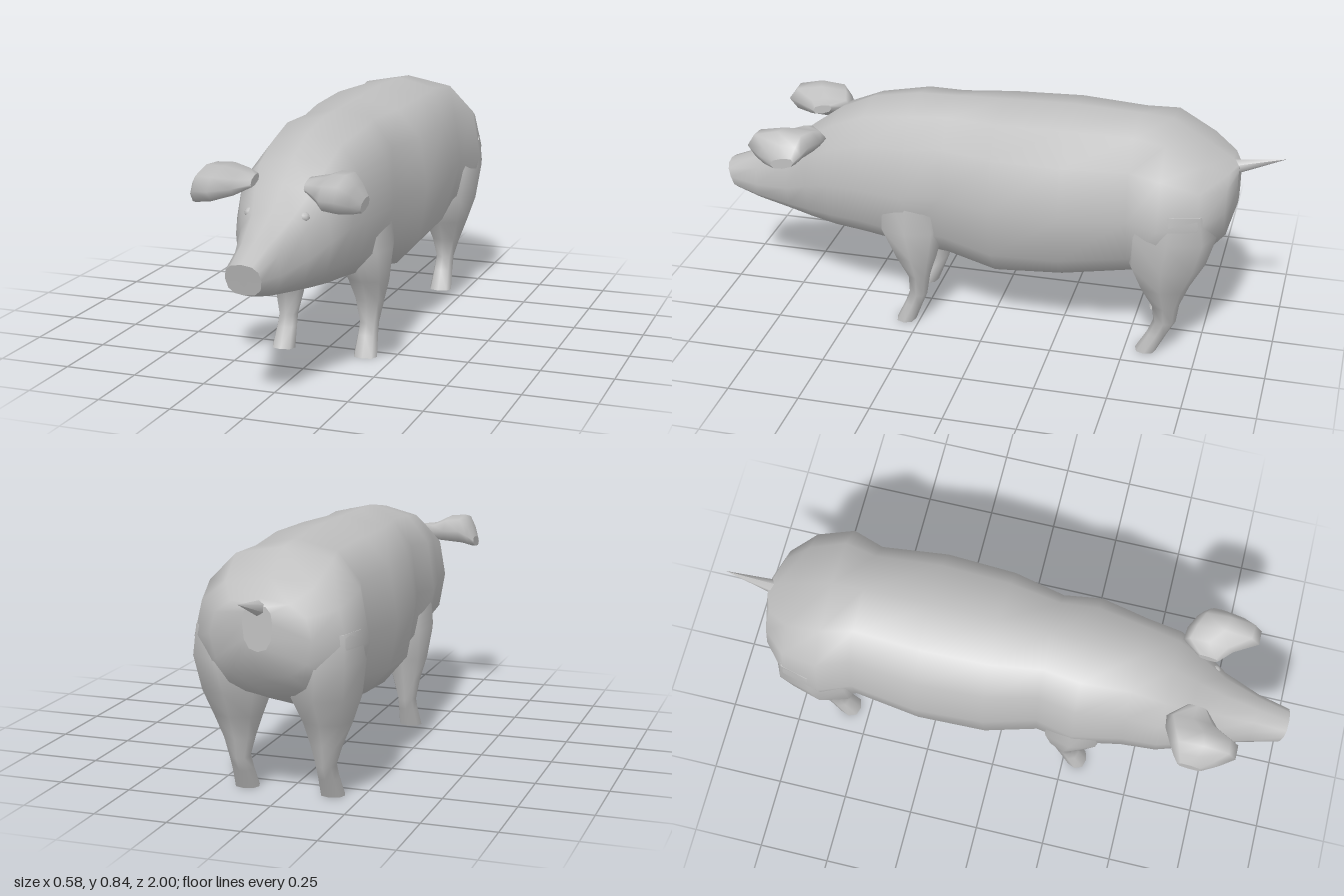
import * as THREE from 'three';

const hide = new THREE.MeshStandardMaterial({ color: 0xc0c0c0 });
hide.name = 'grey hide';

// Skin a row of equal-sized rings into a smooth closed solid with crisp end caps
function loft(rings) {
  const n = rings[0].length, pos = [], idx = [];
  rings.forEach(r => r.forEach(p => pos.push(...p)));
  for (let i = 0; i < rings.length - 1; i++) {
    for (let k = 0; k < n; k++) {
      const a = i * n + k, b = i * n + (k + 1) % n;
      idx.push(a, b, a + n, b, b + n, a + n);
    }
  }
  [rings[0], rings[rings.length - 1]].forEach((ring, end) => {
    const base = pos.length / 3;
    ring.forEach(p => pos.push(...p));
    pos.push(...[0, 1, 2].map(j => ring.reduce((s, p) => s + p[j], 0) / n));
    for (let k = 0; k < n; k++) {
      const a = base + k, b = base + (k + 1) % n;
      idx.push(base + n, end ? a : b, end ? b : a);
    }
  });
  const g = new THREE.BufferGeometry();
  g.setAttribute('position', new THREE.Float32BufferAttribute(pos, 3));
  g.setIndex(idx);
  g.computeVertexNormals();
  return g;
}

// Rounded ring: calls place(u, v) with u, v in -1..1, starting at v = 1
function ring(n, power, place) {
  const soft = t => Math.sign(t) * Math.pow(Math.abs(t), power);
  return Array.from({ length: n }, (_, k) => {
    const a = k / n * Math.PI * 2;
    return place(soft(Math.sin(a)), soft(Math.cos(a)));
  });
}

// Mirror across x = 0 and turn the faces outward again
function mirrored(geometry) {
  const g = geometry.clone().scale(-1, 1, 1);
  const ix = g.index.array;
  for (let i = 0; i < ix.length; i += 3) [ix[i], ix[i + 1]] = [ix[i + 1], ix[i]];
  g.computeVertexNormals();
  return g;
}

export function createModel() {
  const model = new THREE.Group();
  model.name = 'pig';
  const add = (name, geometry) => {
    const mesh = new THREE.Mesh(geometry, hide);
    mesh.name = name;
    model.add(mesh);
    return mesh;
  };
  const addPair = (name, geometry) => {
    add(name + 'Left', geometry);
    add(name + 'Right', mirrored(geometry));
  };

  // Body from snout to rump: z, top, bottom, half width, height of widest point
  const body = [
    [0.985, 0.49, 0.385, 0.06, 0.44],
    [0.88, 0.54, 0.357, 0.08, 0.43],
    [0.75, 0.60, 0.333, 0.12, 0.45],
    [0.66, 0.67, 0.318, 0.165, 0.49],
    [0.57, 0.735, 0.305, 0.20, 0.52],
    [0.45, 0.79, 0.29, 0.207, 0.52],
    [0.28, 0.82, 0.27, 0.24, 0.52],
    [0.15, 0.824, 0.245, 0.215, 0.53],
    [-0.03, 0.83, 0.208, 0.262, 0.52],
    [-0.27, 0.837, 0.232, 0.274, 0.52],
    [-0.5, 0.828, 0.27, 0.245, 0.53],
    [-0.61, 0.82, 0.31, 0.288, 0.53],
    [-0.74, 0.745, 0.36, 0.257, 0.54],
    [-0.82, 0.695, 0.44, 0.17, 0.57],
    [-0.845, 0.68, 0.53, 0.05, 0.62],
  ];
  add('body', loft(body.map(([z, top, bottom, w, mid], i) =>
    ring(12, 0.8, (u, v) => [
      u * w,
      mid + v * (v > 0 ? top - mid : mid - bottom),
      z + (i === 0 ? v * 0.015 : 0), // the snout disc leans back at the chin
    ]))));

  // Legs from the body down: y, inner x, outer x, back z, front z
  const leg = rows => loft(rows.map(([y, x0, x1, z0, z1]) =>
    ring(8, 0.85, (u, v) => [
      (x0 + x1) / 2 + u * (x1 - x0) / 2, y, (z0 + z1) / 2 - v * (z1 - z0) / 2,
    ])));
  addPair('frontLeg', leg([
    [0.55, 0.06, 0.225, 0.16, 0.39],
    [0.38, 0.04, 0.238, 0.155, 0.395],
    [0.27, 0.075, 0.222, 0.185, 0.335],
    [0.19, 0.095, 0.20, 0.21, 0.288],
    [0.11, 0.115, 0.183, 0.222, 0.287],
    [0.07, 0.113, 0.185, 0.238, 0.302],
    [0, 0.108, 0.192, 0.265, 0.335],
  ]));
  addPair('hindLeg', leg([
    [0.58, 0.08, 0.272, -0.78, -0.52],
    [0.48, 0.05, 0.284, -0.80, -0.49],
    [0.36, 0.035, 0.268, -0.765, -0.49],
    [0.27, 0.07, 0.237, -0.715, -0.535],
    [0.19, 0.095, 0.205, -0.683, -0.585],
    [0.12, 0.115, 0.183, -0.673, -0.595],
    [0.07, 0.113, 0.185, -0.645, -0.575],
    [0, 0.108, 0.192, -0.61, -0.535],
  ]));

  // Drooping ears, root to outer edge: x, back z, front z, bottom, top
  const ear = [
    [0.09, 0.64, 0.71, 0.66, 0.692],
    [0.14, 0.58, 0.755, 0.632, 0.70],
    [0.185, 0.585, 0.835, 0.622, 0.722],
    [0.235, 0.61, 0.835, 0.615, 0.726],
    [0.265, 0.63, 0.785, 0.61, 0.69],
    [0.287, 0.65, 0.735, 0.612, 0.65],
  ];
  addPair('ear', loft(ear.map(([x, z0, z1, y0, y1]) =>
    ring(8, 0.8, (u, v) => [
      x,
      (y0 + y1) / 2 + v * (y1 - y0) / 2 - u * 0.008, // front edge droops
      (z0 + z1) / 2 + u * (z1 - z0) / 2,
    ]))));

  // Small eyes set into the brow
  addPair('eye', new THREE.SphereGeometry(0.018, 8, 6).translate(0.093, 0.578, 0.712));

  // Short pointed tail
  const tail = add('tail', new THREE.ConeGeometry(0.028, 0.19, 6));
  tail.position.set(0, 0.686, -0.907);
  tail.rotation.x = -Math.PI / 2 + 0.27;

  return model;
}
